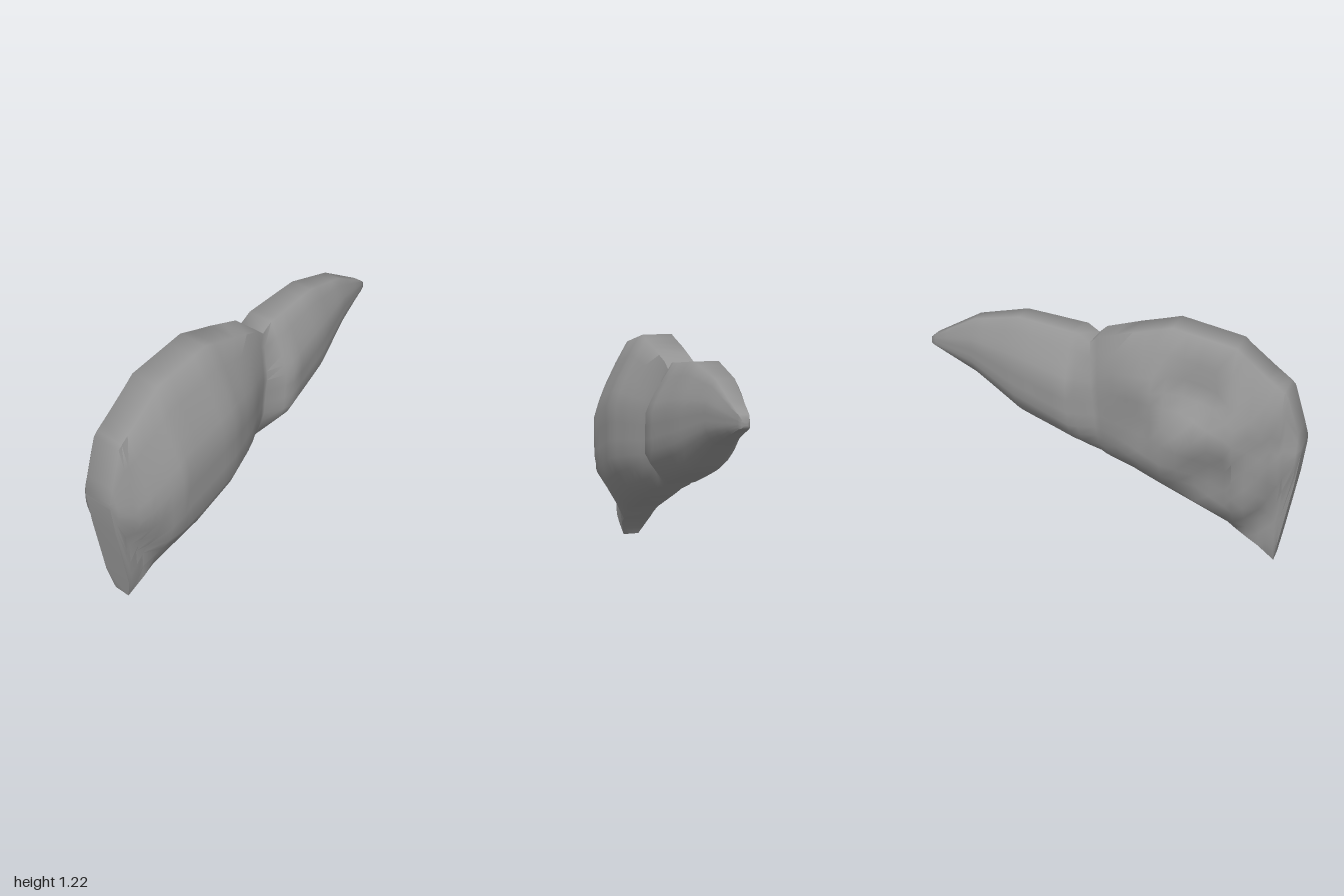
import * as THREE from 'three';
import { toCreasedNormals } from 'three/addons/utils/BufferGeometryUtils.js';

// Stations along x: [x, top y, bottom y, half thickness, rim half thickness]
const STATIONS = [
  [-1, 0.69, 0.65, 0.08, 0.08], [-0.98, 0.76, 0.48, 0.11, 0.08],
  [-0.92, 0.95, 0.12, 0.16, 0.08], [-0.9, 0.97, 0, 0.18, 0.08],
  [-0.86, 1.0, 0.045, 0.212, 0.08], [-0.82, 1.03, 0.09, 0.225, 0.08],
  [-0.7, 1.125, 0.17, 0.265, 0.08], [-0.66, 1.16, 0.2, 0.265, 0.08],
  [-0.34, 1.22, 0.335, 0.265, 0.08], [-0.15, 1.165, 0.415, 0.21, 0.08],
  [0.015, 1.11, 0.465, 0.13, 0.075], [0.05, 1.075, 0.48, 0.12, 0.07],
  [0.12, 1.115, 0.5, 0.19, 0.07], [0.16, 1.118, 0.515, 0.212, 0.07],
  [0.47, 1.15, 0.63, 0.162, 0.06], [0.73, 1.095, 0.8, 0.095, 0.045],
  [0.97, 0.965, 0.9, 0.028, 0.025], [0.995, 0.945, 0.908, 0.02, 0.018],
  [1, 0.93, 0.92, 0.008, 0.008],
];
const CREASE_X = 0.05;
// Bulge from the top edge (0) to the bottom edge (1): [v, amount]
const BULGE = [[0, 0], [0.12, 0.36], [0.25, 0.7], [0.33, 0.87], [0.41, 1], [0.52, 1],
  [0.63, 1], [0.74, 1], [0.83, 0.8], [0.92, 0.48], [1, 0]];
// Thickness limit by height, narrowing the lower tail: [y, half thickness]
const TAPER = [[0, 0.045], [0.1, 0.08], [0.22, 0.13], [0.36, 0.21], [0.5, 0.3], [2, 0.3]];
// Hollows in the back of the large lobe: [x, y, half width, half height, depth]
const HOLLOWS = [
  [-0.48, 0.92, 0.18, 0.14, 0.09], [-0.2, 0.74, 0.18, 0.2, 0.03],
  [-0.56, 0.5, 0.18, 0.15, 0.07], [-0.84, 0.6, 0.12, 0.2, 0.05],
];

function lookup(table, x, column) {
  let i = 0;
  while (i < table.length - 2 && x > table[i + 1][0]) i++;
  const t = THREE.MathUtils.clamp((x - table[i][0]) / (table[i + 1][0] - table[i][0]), 0, 1);
  return THREE.MathUtils.lerp(table[i][column], table[i + 1][column], t);
}

// Station positions with wide gaps divided
function stationPositions() {
  const xs = [STATIONS[0][0]];
  for (let i = 1; i < STATIONS.length; i++) {
    const a = STATIONS[i - 1][0], b = STATIONS[i][0];
    const n = Math.ceil((b - a) / 0.085);
    for (let k = 1; k <= n; k++) xs.push(THREE.MathUtils.lerp(a, b, k / n));
  }
  return xs;
}

// Depth of the hollows at a point of the back
function hollowDepth(x, y) {
  let depth = 0;
  for (const [cx, cy, w, h, d] of HOLLOWS) {
    const r = Math.max(Math.abs(x - cx) / w, Math.abs(y - cy) / h);
    depth = Math.max(depth, d * THREE.MathUtils.clamp((1 - r) * 2.2, 0, 1));
  }
  return depth;
}

// Thin flap of the tail: the body swells above a slanting line
function flapLimit(x, y) {
  const above = (y - 0.55 + 1.59 * (x + 1)) / 1.88;
  return 0.08 + 1.2 * Math.max(0, above);
}

// Point on the front (side 1) or back (side -1)
function surfacePoint(x, [v, bulge], side) {
  const y = THREE.MathUtils.lerp(lookup(STATIONS, x, 1), lookup(STATIONS, x, 2), v);
  const rim = lookup(STATIONS, x, 4);
  const domed = rim + (lookup(STATIONS, x, 3) - rim) * bulge;
  let z = Math.min(domed, lookup(TAPER, y, 1), flapLimit(x, y));
  if (side < 0) z -= hollowDepth(x, y) * Math.min(1, 6 * Math.min(v, 1 - v));
  // the crease between the lobes leans
  const lean = 0.06 * (0.6 - v) * Math.max(0, 1 - Math.abs(x - CREASE_X) / 0.3);
  return [x + lean, y, side * z];
}

// Closed rings of points joined along x
function ringBody(xs) {
  const positions = [], index = [];
  const count = BULGE.length * 2;
  xs.forEach((x, i) => {
    for (const p of BULGE) positions.push(...surfacePoint(x, p, 1));
    for (const p of [...BULGE].reverse()) positions.push(...surfacePoint(x, p, -1));
    if (i === xs.length - 1) return;
    for (let j = 0; j < count; j++) {
      const a = i * count + j, b = i * count + (j + 1) % count;
      index.push(a, b, a + count, a + count, b, b + count);
    }
  });
  // caps over both ends
  const end = (xs.length - 1) * count;
  for (let j = 0; j < BULGE.length - 1; j++) {
    const k = count - 1 - j;
    index.push(j, k, j + 1, j + 1, k, k - 1);
    index.push(end + j, end + j + 1, end + k, end + j + 1, end + k - 1, end + k);
  }
  const geometry = new THREE.BufferGeometry();
  geometry.setAttribute('position', new THREE.Float32BufferAttribute(positions, 3));
  geometry.setIndex(index);
  return toCreasedNormals(geometry, 1.15);
}

export function createModel() {
  const group = new THREE.Group();
  group.name = 'liver';

  // Both lobes as one skin, with the crease between them
  const lobes = new THREE.Mesh(
    ringBody(stationPositions()),
    new THREE.MeshStandardMaterial({ color: 0x949494 }),
  );
  lobes.name = 'lobes';
  group.add(lobes);

  return group;
}
